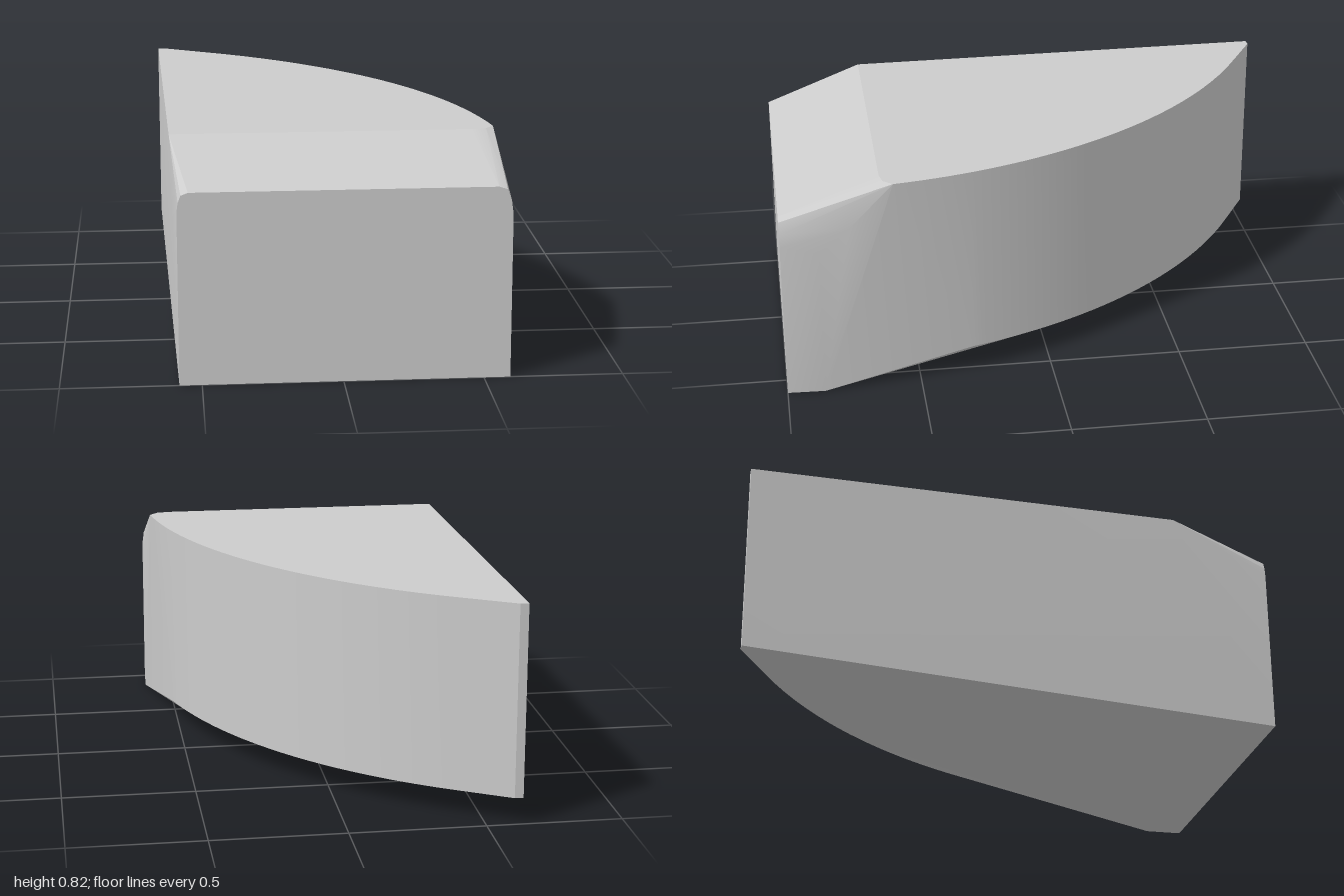
import * as THREE from 'three';
import { toCreasedNormals } from 'three/addons/utils/BufferGeometryUtils.js';
import { ConvexGeometry } from 'three/addons/geometries/ConvexGeometry.js';

const RADIUS = 2.02, ARC_Z = 0.86;

// x of the curved right-hand wall at a given z
const arcX = (z) => 0.6 - RADIUS + Math.sqrt(RADIUS ** 2 - (z - ARC_Z) ** 2);

// Points along the curved wall at height y, from the rear tip to zEnd
function arcPoints(y, zEnd, count) {
  return Array.from({ length: count + 1 }, (_, i) => {
    const z = -1 + (zEnd + 1) * i / count;
    return new THREE.Vector3(arcX(z), y, z);
  });
}

export function createModel() {
  const group = new THREE.Group();
  group.name = 'wedgeBlock';
  const grey = new THREE.MeshStandardMaterial({ color: 0xcccccc });
  grey.name = 'light grey';

  // Flat front face with rounded upper corners
  const front = [
    [-0.58, 0], [-0.58, 0.63], [-0.575, 0.665], [-0.565, 0.69], [-0.54, 0.7],
    [0.54, 0.7], [0.57, 0.69], [0.585, 0.65], [0.592, 0.6], [0.595, 0],
  ].map(([x, y]) => new THREE.Vector3(x, y, 1));

  // Straight left wall, front of the top and the curved shoulder
  const corners = [
    [-0.6, 0.82, -1], [-0.6, 0.1, -1], [-0.6, 0.82, 0.63],
    [0.5, 0.82, 0.63], [0.55, 0.82, 0.62],
    [arcX(0.75), 0.66, 0.75], [0.6, 0.57, ARC_Z], [0.6, 0, ARC_Z],
  ].map((p) => new THREE.Vector3(...p));

  // Top outline and raised rear part of the underside
  const points = [...front, ...corners, ...arcPoints(0.82, 0.585, 32), ...arcPoints(0.1, 0.3, 26)];

  const block = new THREE.Mesh(toCreasedNormals(new ConvexGeometry(points), 0.25), grey);
  block.name = 'block';
  group.add(block);
  return group;
}
